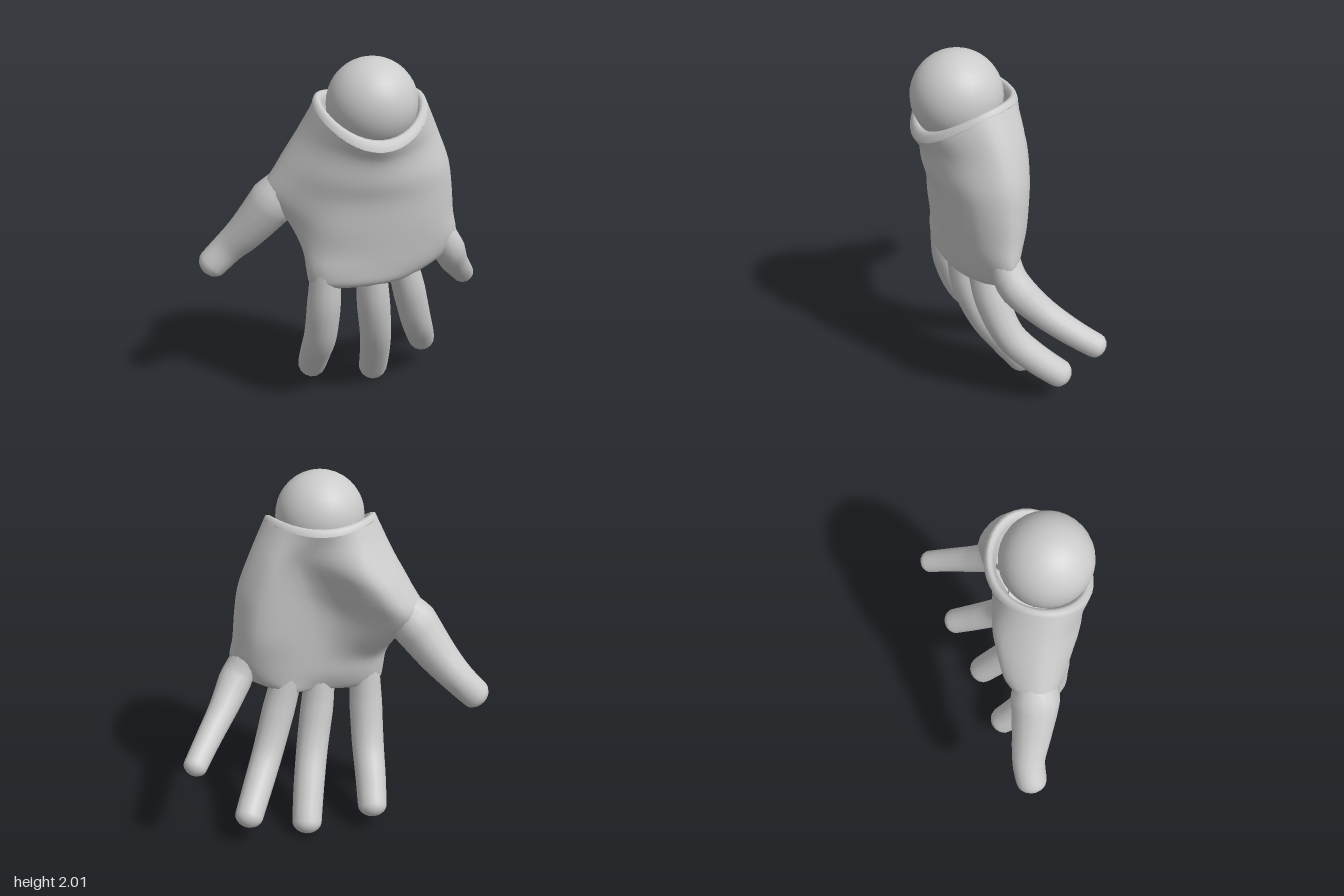
import * as THREE from 'three';

const V = (x, y, z) => new THREE.Vector3(x, y, z);
const material = new THREE.MeshStandardMaterial({ color: 0xcccccc, side: THREE.DoubleSide });

// Skin a list of closed rings (each an array of points) into one smooth surface
function loft(name, rings) {
  const n = rings[0].length;
  const index = [];
  for (let i = 0; i < rings.length - 1; i++) {
    for (let j = 0; j < n; j++) {
      const a = i * n + j, b = i * n + (j + 1) % n;
      index.push(a, b, a + n, b, b + n, a + n);
    }
  }
  const geometry = new THREE.BufferGeometry().setFromPoints(rings.flat());
  geometry.setIndex(index);
  geometry.computeVertexNormals();
  const mesh = new THREE.Mesh(geometry, material);
  mesh.name = name;
  return mesh;
}

// Tapered tube along a path with a blunt rounded tip
function digit(name, path, radii) {
  const curve = new THREE.CatmullRomCurve3(path.map((p) => V(...p)));
  const dome = 0.8 * radii[radii.length - 1] / curve.getLength();
  const stops = [];
  for (let i = 0; i <= 18; i++) stops.push([(1 - dome) * i / 18, 1]);
  for (let i = 1; i <= 5; i++) {
    const a = i / 5 * Math.PI / 2;
    stops.push([1 - dome + dome * Math.sin(a), Math.max(Math.cos(a), 0.001)]);
  }
  const rings = stops.map(([t, scale]) => {
    const c = curve.getPointAt(t), tangent = curve.getTangentAt(t);
    const u = V(1, 0, 0).addScaledVector(tangent, -tangent.x).normalize();
    const v = tangent.clone().cross(u);
    const f = t * (radii.length - 1), k = Math.min(Math.floor(f), radii.length - 2);
    const r = THREE.MathUtils.lerp(radii[k], radii[k + 1], f - k) * scale;
    return Array.from({ length: 14 }, (_, j) => {
      const a = j / 14 * Math.PI * 2;
      return c.clone().addScaledVector(u, r * Math.cos(a)).addScaledVector(v, r * Math.sin(a));
    });
  });
  return loft(name, rings);
}

// Height of the wrist opening, which dips toward the front
const dip = (z) => 1.4 * z * z;

function wristRing(r, y, n) {
  return Array.from({ length: n }, (_, j) => {
    const a = j / n * Math.PI * 2;
    const z = 0.115 + 0.9 * r * Math.sin(a);
    return V(0.065 + r * Math.cos(a), y - dip(z), z);
  });
}

// Palm: eight-point sections from wrist to knuckles, running
// outer edge, back of hand, thumb edge, thumb mound, hollow, outer mound
function palm() {
  const sections = [
    [1.6, 0.6, [[.44, .07], [.33, .25], [.07, .345], [-.19, .25], [-.31, .03], [-.15, -.17], [.15, -.1], [.34, -.11]]],
    [1.42, 0.3, [[.51, .05], [.4, .23], [.08, .325], [-.23, .23], [-.41, -.01], [-.26, -.19], [.1, -.05], [.39, -.11]]],
    [1.27, 0, [[.535, .05], [.42, .215], [.09, .295], [-.22, .22], [-.48, -.03], [-.33, -.17], [.04, -.01], [.41, -.1]]],
    [1.12, 0, [[.55, .05], [.43, .2], [.1, .275], [-.21, .22], [-.36, .05], [-.27, -.08], [.05, .01], [.42, -.08]]],
    [.98, 0, [[.57, .06], [.43, .18], [.1, .255], [-.2, .215], [-.3, .12], [-.21, .02], [.08, .02], [.42, -.04]]],
    [.87, 0, [[.5, .065], [.38, .17], [.1, .24], [-.2, .22], [-.285, .135], [-.19, .04], [.1, .03], [.37, -.01]]],
    [.8, 0, [[.38, .08], [.3, .16], [.1, .225], [-.19, .21], [-.27, .135], [-.18, .06], [.1, .05], [.29, .01]]],
    [.77, 0, [[.33, .08], [.26, .14], [.09, .195], [-.15, .18], [-.22, .13], [-.15, .08], [.1, .065], [.25, .03]]],
  ];
  const controls = [wristRing(0.298, 1.775, 8)];
  for (const [y, w, pts] of sections) controls.push(pts.map(([x, z]) => V(x, y - w * dip(z), z)));
  controls.push(Array.from({ length: 8 }, () => V(0.05, 0.77, 0.125)));

  // Smooth around each section, then from section to section
  const n = 40, rows = 36;
  const around = controls.map((pts) => {
    const curve = new THREE.CatmullRomCurve3(pts, true);
    return Array.from({ length: n }, (_, j) => curve.getPoint(j / n));
  });
  const columns = Array.from({ length: n }, (_, j) =>
    new THREE.CatmullRomCurve3(around.map((ring) => ring[j])));
  const rings = Array.from({ length: rows + 1 }, (_, i) =>
    columns.map((column) => column.getPoint(i / rows)));
  return loft('palm', rings);
}

export function createModel() {
  const hand = new THREE.Group();
  hand.name = 'hand';
  hand.add(palm());

  // Lip around the wrist opening, from inside to outside
  const lip = [[.235, 1.66], [.245, 1.765], [.255, 1.79], [.27, 1.8], [.287, 1.798], [.298, 1.775]];
  hand.add(loft('cuff', lip.map(([r, y]) => wristRing(r, y, 40))));

  // Ball joint at the wrist
  const ball = new THREE.Mesh(new THREE.SphereGeometry(0.235, 32, 20), material);
  ball.name = 'wristBall';
  ball.position.set(0.065, 1.765, 0.15);
  hand.add(ball);

  // Thumb and four fingers, each starting inside the palm
  hand.add(
    digit('thumb',
      [[-.29, 1.36, -.03], [-.4, 1.235, -.045], [-.55, 1.04, -.11], [-.66, .92, -.16], [-.795, .785, -.175]],
      [.09, .13, .11, .088, .08]),
    digit('indexFinger',
      [[-.18, .86, .135], [-.188, .65, .115], [-.195, .42, .04], [-.2, .27, -.07], [-.2, .09, -.215]],
      [.085, .094, .092, .087, .08]),
    digit('middleFinger',
      [[.07, .86, .135], [.09, .65, .11], [.125, .42, .035], [.155, .22, -.09], [.18, .01, -.235]],
      [.085, .094, .09, .087, .082]),
    digit('ringFinger',
      [[.25, .88, .09], [.31, .66, .06], [.38, .43, -.02], [.44, .29, -.14], [.517, .135, -.32]],
      [.085, .092, .087, .083, .077]),
    digit('littleFinger',
      [[.46, 1.04, .06], [.53, .9, .04], [.61, .76, -.07], [.7, .64, -.21], [.79, .525, -.375]],
      [.075, .092, .078, .07, .064]),
  );
  return hand;
}
